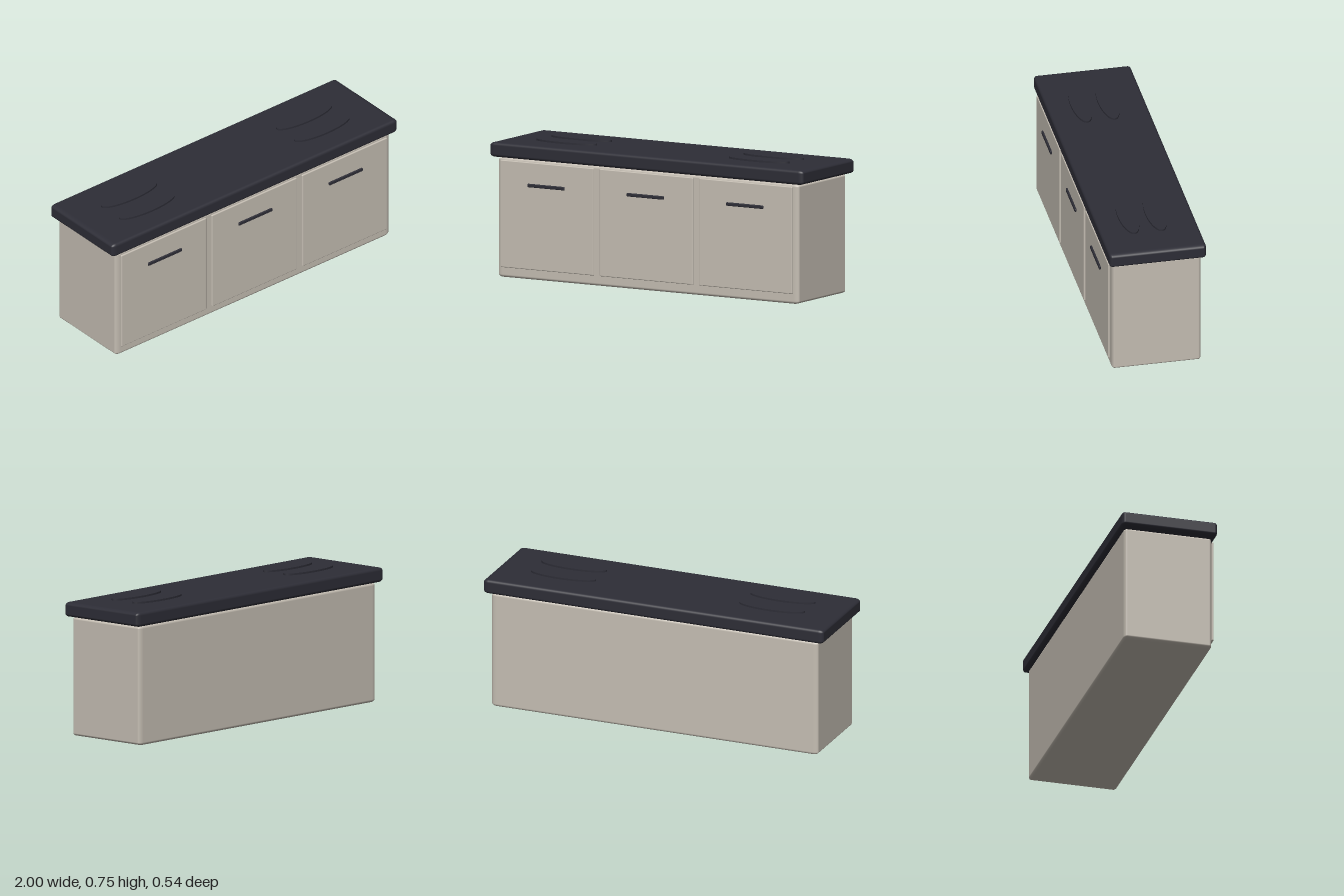
import * as THREE from 'three';
import { RoundedBoxGeometry } from 'three/addons/geometries/RoundedBoxGeometry.js';

export function createModel() {
  const group = new THREE.Group();
  const cabinetPaint = new THREE.MeshStandardMaterial({ color: 0xc4bdb2 });
  cabinetPaint.name = 'warm grey cabinet';
  const darkStone = new THREE.MeshStandardMaterial({ color: 0x2d2d36 });
  darkStone.name = 'dark charcoal';

  function add(name, geometry, material, x, y, z) {
    const mesh = new THREE.Mesh(geometry, material);
    mesh.name = name;
    mesh.position.set(x, y, z);
    group.add(mesh);
    return mesh;
  }

  // Rounded box whose corner radius is stretched along x
  function softBox(w, h, d, radius, stretch) {
    return new RoundedBoxGeometry(w / stretch, h, d, 4, radius).scale(stretch, 1, 1);
  }

  // Cabinet body and overhanging worktop
  add('cabinetBody', softBox(1.92, 0.657, 0.494, 0.016, 2), cabinetPaint, 0, 0.3285, -0.003);
  add('worktop', softBox(2, 0.08, 0.537, 0.017, 1.8), darkStone, 0, 0.698, -0.003);

  // Three doors, each with a bar handle
  for (const [i, x] of [-0.636, -0.002, 0.632].entries()) {
    add(`door${i + 1}`, softBox(0.597, 0.588, 0.012, 0.005, 1.5), cabinetPaint, x, 0.351, 0.255);
    add(`handle${i + 1}`, softBox(0.235, 0.019, 0.011, 0.004, 1.5), darkStone, x, 0.52, 0.2675);
  }

  // Two pairs of flattened oval hob plates
  const plate = new THREE.CylinderGeometry(1, 1, 0.01, 48).scale(0.191, 1, 0.0525);
  for (const x of [-0.615, 0.612]) {
    for (const z of [0.087, -0.065]) {
      const side = x < 0 ? 'right' : 'left';
      const row = z > 0 ? 'Front' : 'Back';
      add(`${side}${row}HobPlate`, plate, darkStone, x, 0.747, z);
    }
  }
  return group;
}
